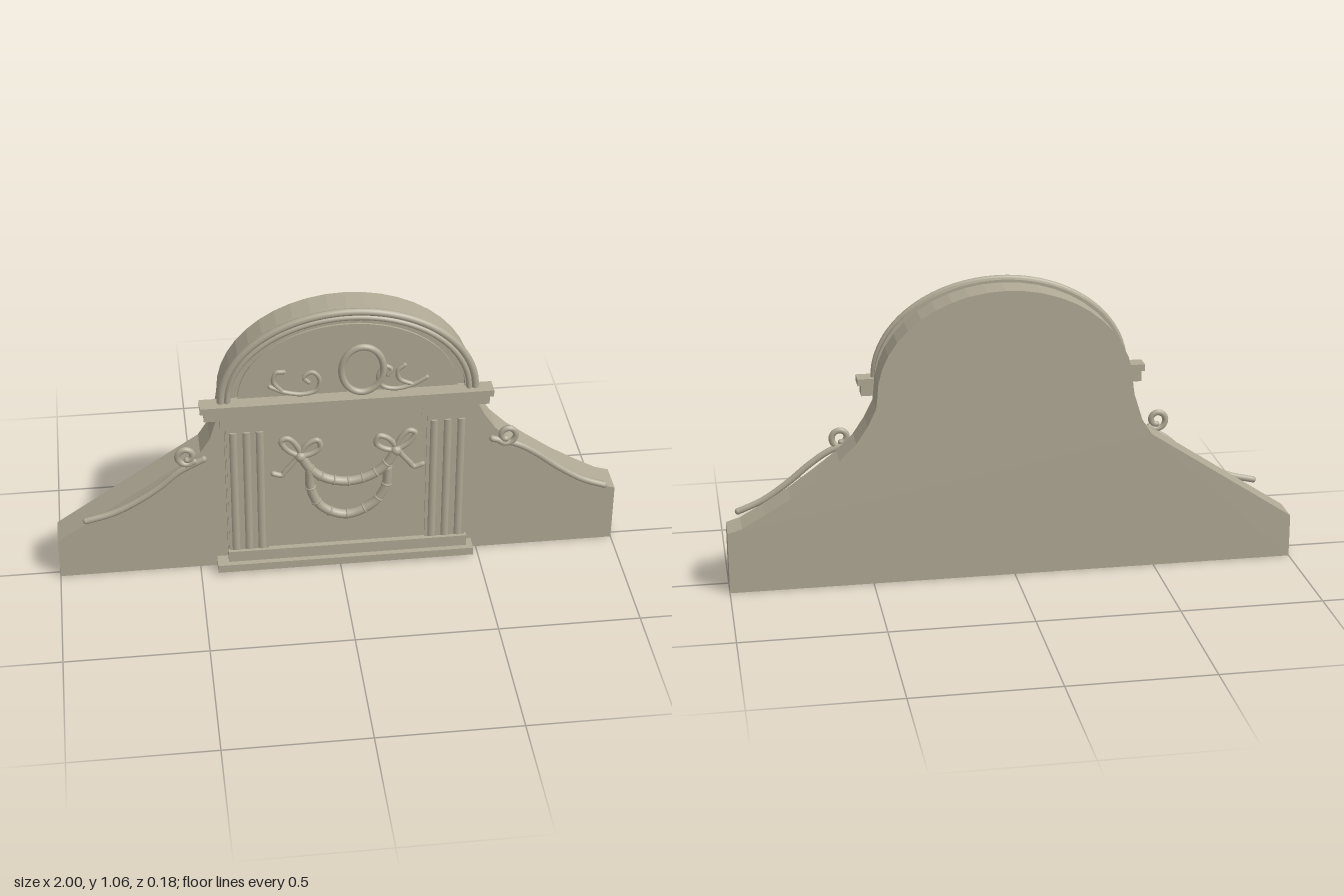
import * as THREE from 'three';

const stone = new THREE.MeshStandardMaterial({ color: 0xb0a995 });
stone.name = 'stone';
const CX = 0.03; // axis of the central bay

export function createModel() {
  const root = new THREE.Group();
  root.name = 'pediment';

  const add = (name, geo, parent = root) => {
    const m = new THREE.Mesh(geo, stone);
    m.name = name;
    parent.add(m);
    return m;
  };
  const block = (name, x0, x1, y0, y1, z0, z1) => {
    const m = add(name, new THREE.BoxGeometry(x1 - x0, y1 - y0, z1 - z0));
    m.position.set((x0 + x1) / 2, (y0 + y1) / 2, (z0 + z1) / 2);
    return m;
  };
  const plate = (name, shape, z0, z1) => {
    const geo = new THREE.ExtrudeGeometry(shape, { depth: z1 - z0, bevelEnabled: false, curveSegments: 32 });
    geo.translate(0, 0, z0);
    return add(name, geo);
  };
  // Round moulding through 2D points, with rounded ends unless closed
  const cord = (name, pts, z, r, closed = false, seg = 32) => {
    const g = new THREE.Group();
    g.name = name;
    root.add(g);
    const path = pts.map(p => new THREE.Vector3(p[0], p[1], p[2] ?? z));
    const curve = new THREE.CatmullRomCurve3(path, closed);
    add(name + 'Cord', new THREE.TubeGeometry(curve, seg, r, 8, closed), g);
    if (!closed) for (const p of [path[0], path[path.length - 1]]) {
      add(name + 'End', new THREE.SphereGeometry(r, 8, 6), g).position.copy(p);
    }
    return g;
  };
  const ellipse = (cx, cy, rx, ry, a0, a1, n) => Array.from({ length: n + 1 }, (_, i) => {
    const a = a0 + (a1 - a0) * i / n;
    return [cx + rx * Math.cos(a), cy + ry * Math.sin(a)];
  });
  const shapeOf = pts => new THREE.Shape(pts.map(p => new THREE.Vector2(p[0], p[1])));

  // Back slab: straight slope on one side, sweeping curve on the other
  plate('backSlab', shapeOf([
    [-1, 0], [1, 0], [1, 0.22], [0.95, 0.235], [0.87, 0.28], [0.78, 0.335], [0.69, 0.4],
    [0.61, 0.46], [0.55, 0.52], [0.51, 0.58], [0.48, 0.64],
    ...ellipse(CX, 0.68, 0.445, 0.358, 0, Math.PI, 22),
    [-0.42, 0.645], [-0.45, 0.55], [-0.485, 0.495], [-1, 0.155],
  ]), -0.09, 0.025);

  // Stepped plinth, central panel and cornice
  block('plinthFoot', -0.44, 0.48, 0.01, 0.04, 0.02, 0.085);
  block('plinthStep', -0.4, 0.457, 0.04, 0.083, 0.02, 0.065);
  block('centralPanel', -0.4, 0.457, 0.08, 0.61, 0.02, 0.045);
  block('frieze', -0.415, 0.465, 0.605, 0.655, 0.02, 0.052);
  block('corniceBed', -0.47, 0.518, 0.653, 0.69, 0.025, 0.073);
  block('corniceTop', -0.483, 0.53, 0.69, 0.714, 0.025, 0.085);

  // Fluted pilasters
  for (const [side, x0, x1] of [['right', -0.395, -0.255], ['left', 0.305, 0.45]]) {
    block(side + 'Capital', x0 - 0.02, x1 + 0.02, 0.61, 0.654, 0.02, 0.06);
    block(side + 'Pilaster', x0, x1, 0.08, 0.61, 0.02, 0.052);
    for (let i = 0; i < 3; i++) {
      const reed = add(side + 'Reed', new THREE.CylinderGeometry(0.014, 0.014, 0.5, 10));
      reed.scale.z = 0.7;
      reed.position.set(x0 + (x1 - x0) * (0.17 + i * 0.33), 0.337, 0.051);
    }
  }

  // Arched tympanum and its mouldings
  plate('tympanum', shapeOf(ellipse(CX, 0.71, 0.38, 0.275, 0, Math.PI, 32)), 0.02, 0.033);
  const band = shapeOf([
    ...ellipse(CX, 0.71, 0.442, 0.337, 0, Math.PI, 40),
    ...ellipse(CX, 0.71, 0.405, 0.3, Math.PI, 0, 40),
  ]);
  plate('archBand', band, 0.02, 0.045);
  [[0.44, 0.333, 0.05, 0.013], [0.418, 0.313, 0.053, 0.01]].forEach(([rx, ry, z, r]) =>
    cord('archMoulding', ellipse(CX, 0.71, rx, ry, 0, Math.PI, 24), z, r, false, 56));

  // Side rails ending in curls
  cord('leftRail', [[0.955, 0.25], [0.87, 0.285], [0.78, 0.345], [0.7, 0.41], [0.63, 0.455], [0.54, 0.485]], 0.043, 0.012);
  cord('rightRail', [[-0.895, 0.25], [-0.8, 0.275], [-0.71, 0.32], [-0.63, 0.375], [-0.56, 0.435], [-0.475, 0.48]], 0.043, 0.012);
  for (const [name, x, s] of [['leftCurl', 0.592, 1], ['rightCurl', -0.535, -1]]) {
    const pts = Array.from({ length: 15 }, (_, i) => {
      const a = -2.4 + i * 0.5, r = 0.037 - 0.0014 * i;
      return [x + s * r * Math.cos(a), 0.5 + r * Math.sin(a)];
    });
    cord(name, pts, 0.046, 0.011, false, 48);
  }

  // Oval wreath and scrolls on the tympanum
  cord('ovalWreath', ellipse(0.077, 0.815, 0.072, 0.09, 0, Math.PI * 2, 24).slice(0, -1), 0.055, 0.012, true, 48);
  cord('rightScroll', [[-0.24, 0.765], [-0.19, 0.74], [-0.125, 0.728], [-0.08, 0.742], [-0.07, 0.785],
    [-0.095, 0.815], [-0.125, 0.795], [-0.108, 0.775]], 0.05, 0.008);
  cord('rightTendril', [[-0.2, 0.745], [-0.228, 0.785], [-0.218, 0.82], [-0.192, 0.822]], 0.05, 0.008);
  cord('leftScroll', [[0.3, 0.765], [0.25, 0.738], [0.19, 0.727], [0.145, 0.742], [0.132, 0.785],
    [0.155, 0.82], [0.178, 0.805], [0.165, 0.785]], 0.05, 0.008);
  cord('leftTendril', [[0.25, 0.74], [0.205, 0.765], [0.2, 0.8], [0.222, 0.82]], 0.05, 0.008);

  // Bows with two loops and a trailing ribbon
  for (const [side, x, s] of [['right', -0.14, 1], ['left', 0.195, -1]]) {
    const at = pts => pts.map(([px, py]) => [x + s * px, py]);
    cord(side + 'BowOuterLoop', at([[0, 0.485], [-0.045, 0.51], [-0.067, 0.55], [-0.045, 0.56], [-0.015, 0.53]]), 0.067, 0.01, true);
    cord(side + 'BowInnerLoop', at([[0, 0.485], [0.025, 0.53], [0.06, 0.545], [0.07, 0.515], [0.04, 0.49]]), 0.067, 0.01, true);
    cord(side + 'Ribbon', at([[0, 0.49], [-0.022, 0.455], [-0.05, 0.42], [-0.065, 0.402], [-0.095, 0.41]]), 0.06, 0.01);
    add(side + 'BowKnot', new THREE.SphereGeometry(0.02, 12, 8)).position.set(x, 0.482, 0.07);
  }

  // Two hanging swags, bound at intervals
  const swags = [
    ['upperSwag', [[-0.135, 0.475], [-0.105, 0.425], [-0.055, 0.385], [0.025, 0.365], [0.11, 0.385], [0.16, 0.425], [0.19, 0.475]]],
    ['lowerSwag', [[-0.108, 0.415], [-0.105, 0.345], [-0.07, 0.265], [0.02, 0.222], [0.115, 0.262], [0.16, 0.335], [0.167, 0.41]]],
  ];
  for (const [name, pts] of swags) {
    cord(name, pts, 0.07, 0.017, false, 40);
    const curve = new THREE.CatmullRomCurve3(pts.map(p => new THREE.Vector3(p[0], p[1], 0.07)));
    for (let i = 1; i < 8; i++) {
      const ring = add(name + 'Binding', new THREE.TorusGeometry(0.016, 0.004, 6, 12));
      ring.position.copy(curve.getPointAt(i / 8));
      ring.lookAt(ring.position.clone().add(curve.getTangentAt(i / 8)));
    }
  }
  return root;
}
